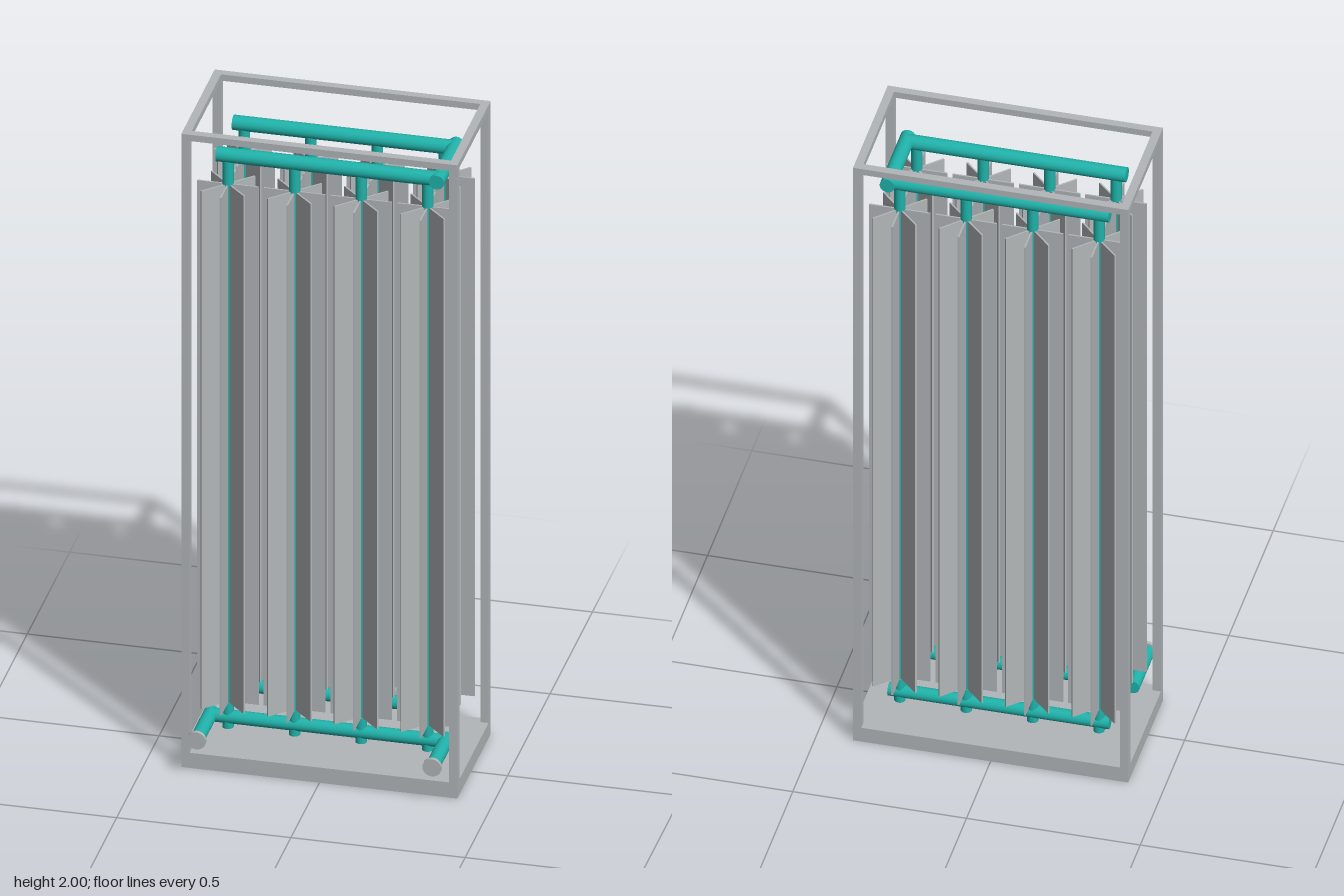
import * as THREE from 'three';

export function createModel() {
  const model = new THREE.Group();
  const steel = new THREE.MeshStandardMaterial({ color: 0xb2b6b8 });
  steel.name = 'grey metal';
  const teal = new THREE.MeshStandardMaterial({ color: 0x20b2aa });
  teal.name = 'teal pipe';

  // Box given by its min and max corners
  function box(name, x0, x1, y0, y1, z0, z1, parent = model) {
    const mesh = new THREE.Mesh(new THREE.BoxGeometry(x1 - x0, y1 - y0, z1 - z0), steel);
    mesh.position.set((x0 + x1) / 2, (y0 + y1) / 2, (z0 + z1) / 2);
    mesh.name = name;
    parent.add(mesh);
  }

  // Straight round pipe between two points
  function pipe(name, from, to, radius, parent = model, material = teal) {
    const a = new THREE.Vector3(...from);
    const b = new THREE.Vector3(...to);
    const dir = b.clone().sub(a);
    const mesh = new THREE.Mesh(new THREE.CylinderGeometry(radius, radius, dir.length(), 24), material);
    mesh.position.copy(a).add(b).multiplyScalar(0.5);
    mesh.quaternion.setFromUnitVectors(new THREE.Vector3(0, 1, 0), dir.normalize());
    mesh.name = name;
    parent.add(mesh);
  }

  // Base tray and open frame
  const X = 0.396, BACK = -0.228, FRONT = 0.165, P = 0.024, R = 0.02;
  box('base', -X, X, 0, 0.048, BACK, FRONT);
  const frame = new THREE.Group();
  frame.name = 'frame';
  model.add(frame);
  for (const x of [-X, X - P]) {
    for (const z of [BACK, FRONT - P]) box('post', x, x + P, 0.048, 2, z, z + P, frame);
    box('sideRail', x, x + P, 2 - R, 2, BACK + P, FRONT - P, frame);
  }
  for (const z of [BACK, FRONT - P]) box('longRail', -X + P, X - P, 2 - R, 2, z, z + P, frame);

  // Finned tubes: two rows of four
  const rows = [-0.128, 0.064];
  const LOW = 0.122, HIGH = 1.895;
  const fin = new THREE.BoxGeometry(0.176, 1.635, 0.005);
  for (const z of rows) {
    for (let i = 0; i < 4; i++) {
      const x = (i - 1.5) * 0.191;
      const tube = new THREE.Group();
      tube.name = 'finnedTube';
      pipe('tube', [x, 0.15, z], [x, 1.83, z], 0.012, tube);
      pipe('lowerCollar', [x, 0.09, z], [x, 0.17, z], 0.016, tube);
      pipe('upperCollar', [x, 1.806, z], [x, HIGH, z], 0.016, tube);
      for (let k = 0; k < 4; k++) {
        const plate = new THREE.Mesh(fin, steel);
        plate.position.set(x, 0.9875, z);
        plate.rotation.y = k * Math.PI / 4;
        plate.name = 'fin';
        tube.add(plate);
      }
      model.add(tube);
    }
    // Headers joining each row at top and bottom
    const end = z > 0 ? 0.338 : 0.318;
    pipe('upperHeader', [-0.318, HIGH, z], [0.316, HIGH, z], 0.0215);
    pipe('lowerHeader', [-end, LOW, z], [end, LOW, z], 0.0195);
  }
  pipe('crossoverPipe', [0.317, HIGH, -0.152], [0.317, HIGH, 0.087], 0.0217);

  // Inlet and outlet stubs with flanges
  for (const x of [-0.338, 0.338]) {
    pipe('connectionStub', [x, LOW, 0.045], [x, LOW, 0.218], 0.0205);
    pipe('flange', [x, LOW, 0.217], [x, LOW, 0.228], 0.027, model, steel);
  }
  return model;
}
